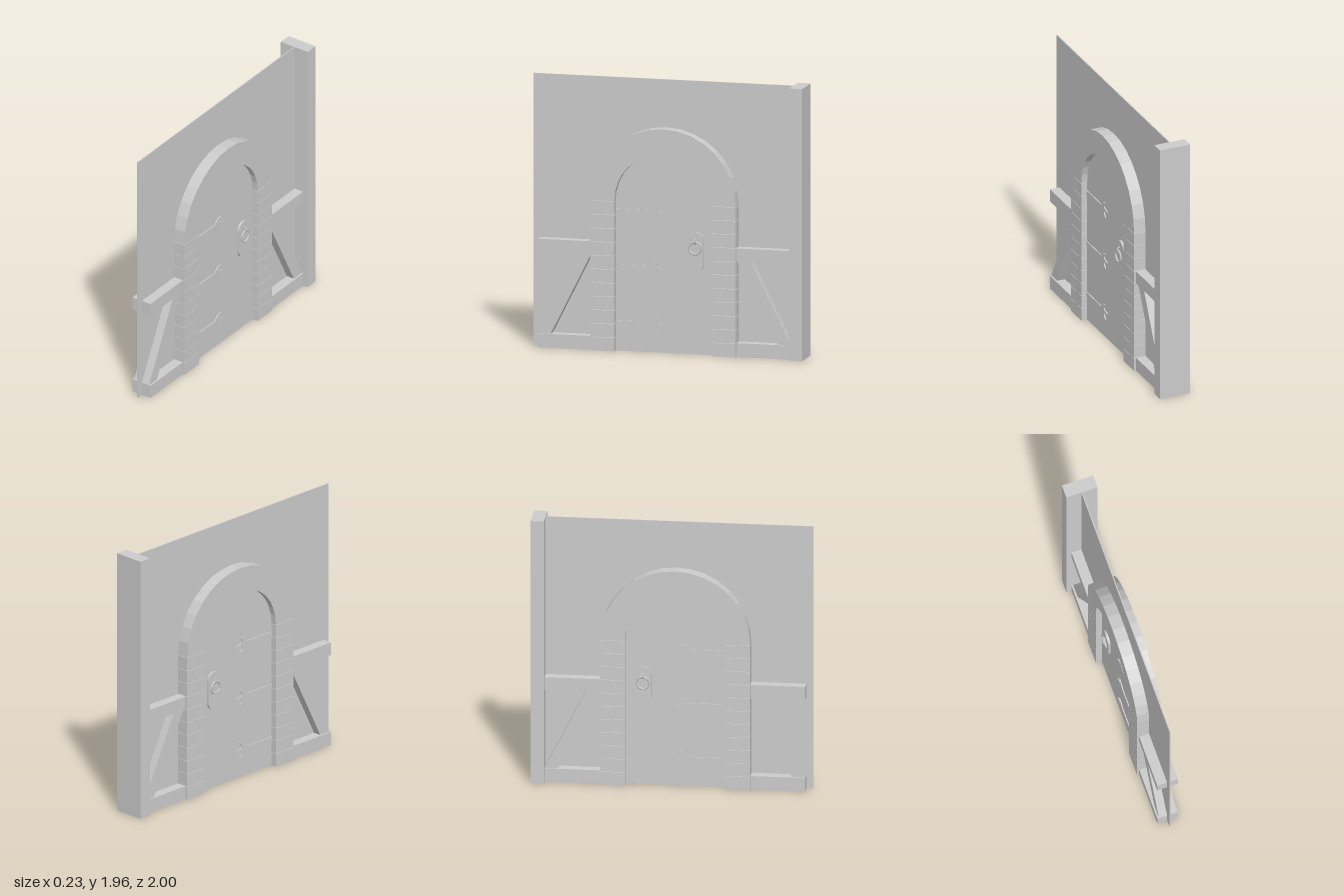
import * as THREE from 'three';

const material = new THREE.MeshStandardMaterial({ color: 0xcccccc, flatShading: true });
const smooth = new THREE.MeshStandardMaterial({ color: 0xcccccc });

const WALL = 0.004;      // half thickness of the panel
const DOOR = 0.048;      // half thickness of the door leaf
const CZ = 0.026;        // centre line of the doorway
const R_OUT = 0.534, R_IN = 0.357, SPRING = 1.078, STONE = 0.186;

function add(parent, name, geometry, mat = material) {
  const mesh = new THREE.Mesh(geometry, mat);
  mesh.name = name;
  parent.add(mesh);
  return mesh;
}

// Box given by its width in x and its y and z ranges
function box(parent, name, width, y0, y1, z0, z1) {
  const mesh = add(parent, name, new THREE.BoxGeometry(width, y1 - y0, z1 - z0));
  mesh.position.set(0, (y0 + y1) / 2, (z0 + z1) / 2);
  return mesh;
}

// Outline drawn in (z, y), extruded along x about the centre plane
function plate(shape, depth) {
  return new THREE.ExtrudeGeometry(shape, { depth, bevelEnabled: false, curveSegments: 16 })
    .translate(0, 0, -depth / 2).rotateY(-Math.PI / 2);
}

const polygon = (points) => new THREE.Shape(points.map(([z, y]) => new THREE.Vector2(z, y)));

export function createModel() {
  const model = new THREE.Group();
  model.name = 'doorway';

  // Thin wall panel and the post at its back end
  box(model, 'wallPanel', WALL * 2, 0, 1.955, -0.95, 1);
  box(model, 'endPost', 0.234, 0, 1.955, -1, -0.905);

  // Rails and slanted braces on both sides of the doorway
  const frame = new THREE.Group();
  frame.name = 'timberFrame';
  model.add(frame);
  for (const [outer, inner] of [[0.95, 0.55], [-0.905, -0.5]]) {
    const z0 = Math.min(outer, inner), z1 = Math.max(outer, inner);
    box(frame, 'bottomRail', 0.156, 0, 0.1, z0, z1);
    box(frame, 'middleRail', 0.156, 0.685, 0.78, z0, z1);
    const s = Math.sign(outer);
    const points = [[outer, 0.1], [outer - s * 0.095, 0.1], [outer - s * 0.39, 0.685], [outer - s * 0.295, 0.685]];
    add(frame, 'brace', plate(polygon(points), 0.13));
  }

  // Arched door leaf, set back from the stone faces
  const leaf = new THREE.Shape();
  leaf.moveTo(CZ - R_IN, 0);
  leaf.lineTo(CZ + R_IN, 0);
  leaf.absarc(CZ, SPRING, R_IN, 0, Math.PI, false);
  leaf.closePath();
  add(model, 'doorLeaf', plate(leaf, DOOR * 2));

  // Stone jambs
  const stones = new THREE.Group();
  stones.name = 'stoneSurround';
  model.add(stones);
  const rows = 11, pitch = SPRING / rows;
  for (const s of [-1, 1]) {
    const a = CZ + s * R_OUT, b = CZ + s * R_IN;
    for (let i = 0; i < rows; i++) {
      box(stones, 'jambStone', STONE, i * pitch, (i + 1) * pitch - 0.003, Math.min(a, b), Math.max(a, b));
    }
  }

  // Tightly fitted wedge stones of the arch
  const wedges = 16, step = Math.PI / wedges;
  const polar = (r, t) => [CZ + r * Math.cos(t), SPRING + r * Math.sin(t)];
  for (let i = 0; i < wedges; i++) {
    const a = i * step, b = (i + 1) * step;
    const points = [polar(R_IN, a), polar(R_OUT, a), polar(R_OUT, b), polar(R_IN, b)];
    add(stones, 'archStone', plate(polygon(points), STONE));
  }

  // Strap hinges with forked tips, showing on both faces of the door
  const strap = polygon([
    [0.38, -0.018], [0.13, -0.018], [0.1, -0.05], [0.06, -0.055], [0.085, -0.03], [0.085, -0.016],
    [0.03, 0], [0.085, 0.016], [0.085, 0.03], [0.06, 0.055], [0.1, 0.05], [0.13, 0.018], [0.38, 0.018],
  ]);
  for (const y of [0.2, 0.6, 1.0]) {
    add(model, 'strapHinge', plate(strap, DOOR * 2 + 0.016)).position.y = y;
  }

  // Handle plate, shared by both faces
  const hz = -0.205, hr = 0.06;
  const capsule = new THREE.Shape();
  capsule.absarc(hz, 0.82, hr, 0, Math.PI, false);
  capsule.absarc(hz, 0.655, hr, Math.PI, Math.PI * 2, false);
  capsule.closePath();
  add(model, 'handlePlate', plate(capsule, DOOR * 2 + 0.034));

  // Ring pull and its staple on each face
  for (const s of [-1, 1]) {
    const ring = add(model, 'handleRing', new THREE.TorusGeometry(0.044, 0.007, 8, 32).rotateY(Math.PI / 2), smooth);
    ring.position.set(s * (DOOR + 0.028), 0.765, hz);
    const staple = add(model, 'ringStaple', new THREE.TorusGeometry(0.02, 0.005, 6, 16), smooth);
    staple.position.set(s * (DOOR + 0.017), 0.815, hz);
  }

  return model;
}
